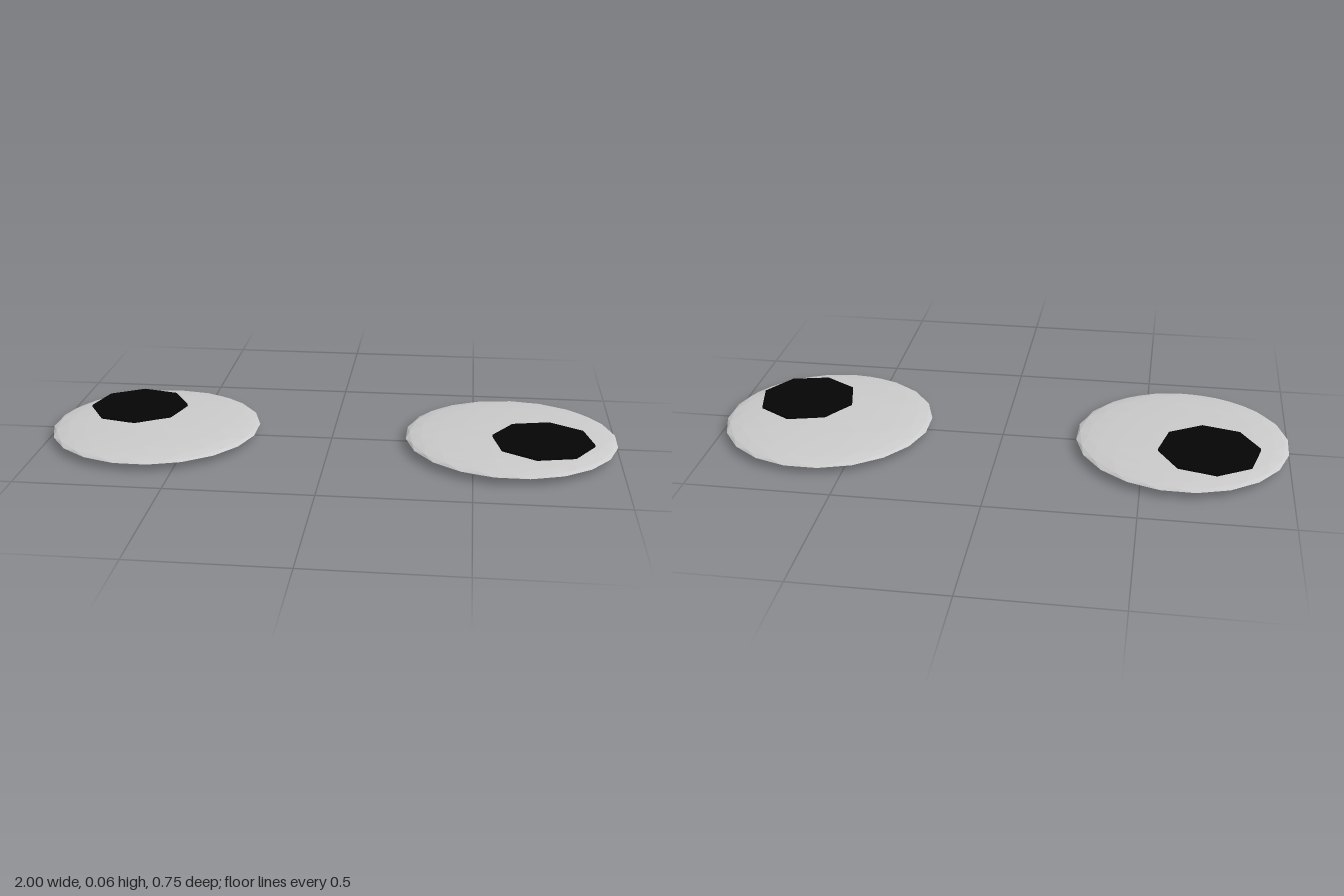
import * as THREE from 'three';

const white = new THREE.MeshStandardMaterial({ color: 0xcccccc, flatShading: true });
const black = new THREE.MeshStandardMaterial({ color: 0x050505, flatShading: true });

// Flattened low-poly ball with a vertex at its pole, so the rim is one even ring
function makeEyeball(turn) {
  const geometry = new THREE.IcosahedronGeometry(1, 3);
  geometry.rotateZ(-Math.atan(2 / (1 + Math.sqrt(5))));
  geometry.rotateY(turn);
  geometry.scale(0.37, 0.026, 0.37);
  const eyeball = new THREE.Mesh(geometry, white);
  eyeball.name = 'eyeball';
  return eyeball;
}

// Thin eight-sided disc lying on the eyeball
function makePupil(turn) {
  const pupil = new THREE.Mesh(new THREE.CylinderGeometry(0.175, 0.175, 0.008, 8), black);
  pupil.rotation.y = turn;
  pupil.name = 'pupil';
  return pupil;
}

function makeEye(name, x, z, pupilX, pupilZ, degrees) {
  const turn = THREE.MathUtils.degToRad(degrees);
  const eye = new THREE.Group();
  eye.name = name;
  const eyeball = makeEyeball(turn);
  const pupil = makePupil(turn);
  eyeball.position.set(x, 0.026, z);
  pupil.position.set(pupilX, 0.0545, pupilZ);
  eye.add(eyeball, pupil);
  return eye;
}

export function createModel() {
  const model = new THREE.Group();
  model.name = 'googlyEyes';
  model.add(
    makeEye('rightEye', -0.632, 0.005, -0.725, -0.112, 8),
    makeEye('leftEye', 0.631, -0.011, 0.738, 0.084, -9.5)
  );
  return model;
}
